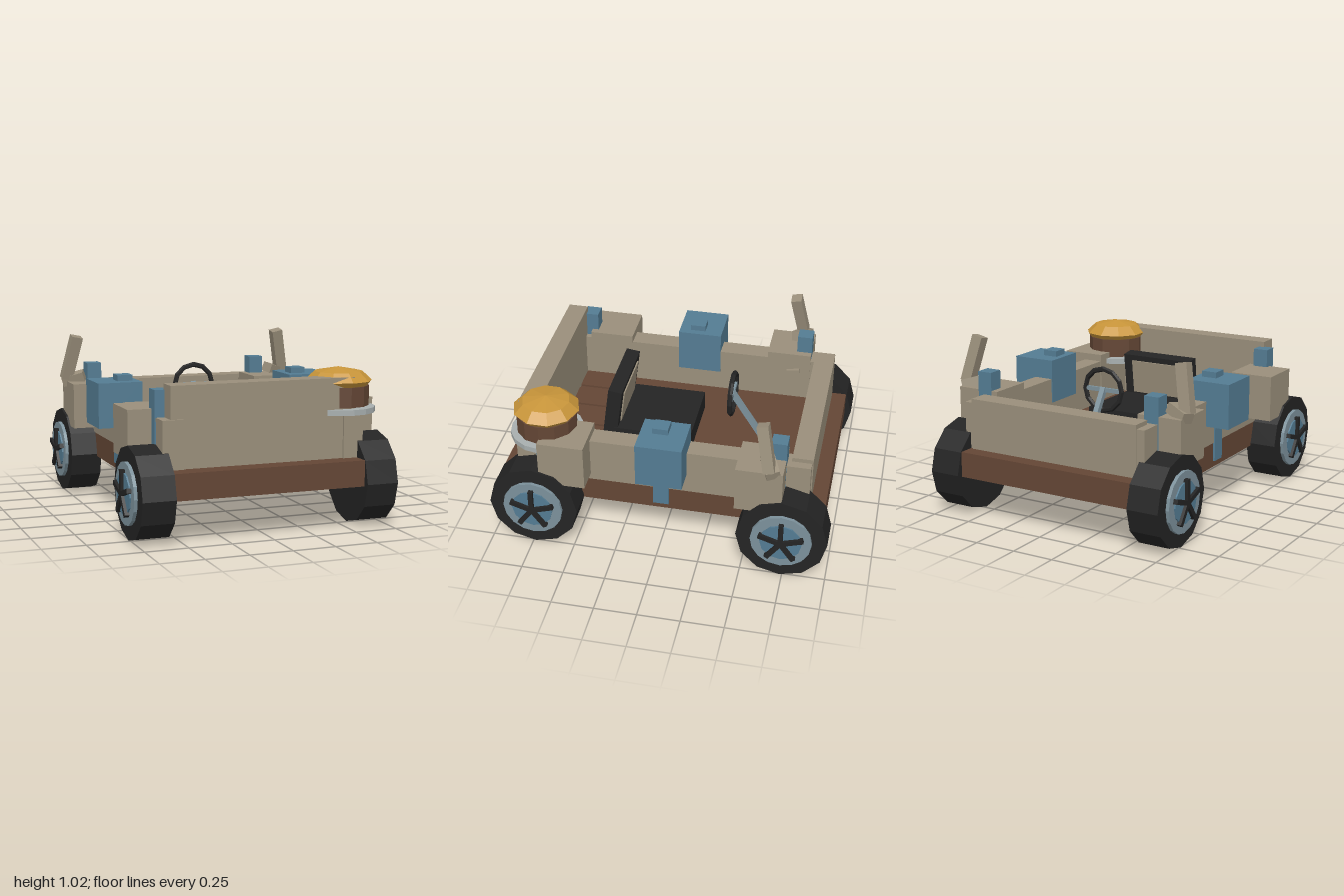
import * as THREE from 'three';

export function createModel() {
  const root = new THREE.Group();
  root.name = 'openBuggy';
  const mat = (name, color) => {
    const m = new THREE.MeshStandardMaterial({ color });
    m.name = name;
    return m;
  };
  const beige = mat('beige panel', 0x9a8f7b);
  const brown = mat('brown wood', 0x644635);
  const blue = mat('blue metal', 0x547c93);
  const black = mat('black rubber', 0x242424);
  const steel = mat('pale steel blue', 0x7c919b);
  const gold = mat('golden top', 0xc8953a);
  const grey = mat('light grey', 0xa8afaf);

  // Faceted mesh from any geometry
  function add(name, geo, material, parent = root) {
    const g = geo.index ? geo.toNonIndexed() : geo;
    g.computeVertexNormals();
    const mesh = new THREE.Mesh(g, material);
    mesh.name = name;
    parent.add(mesh);
    return mesh;
  }
  // Box from its limits
  function box(name, material, [x0, x1], [y0, y1], [z0, z1], parent = root) {
    const m = add(name, new THREE.BoxGeometry(Math.abs(x1 - x0), y1 - y0, z1 - z0), material, parent);
    m.position.set((x0 + x1) / 2, (y0 + y1) / 2, (z0 + z1) / 2);
    return m;
  }
  // Bar between two points
  function bar(name, material, a, b, w, d, parent = root) {
    const p = new THREE.Vector3(...a), q = new THREE.Vector3(...b);
    const dir = q.clone().sub(p);
    const m = add(name, new THREE.BoxGeometry(w, dir.length(), d), material, parent);
    m.position.copy(p).add(q).multiplyScalar(0.5);
    m.quaternion.setFromUnitVectors(new THREE.Vector3(0, 1, 0), dir.normalize());
    return m;
  }

  // Chassis and end walls
  box('chassis', brown, [-0.595, 0.595], [0.25, 0.4], [-0.96, 0.96]);
  box('frontWall', beige, [-0.55, 0.55], [0.4, 0.86], [0.73, 0.85]);
  box('backWall', beige, [-0.55, 0.55], [0.4, 0.7], [-0.872, -0.75]);

  // Floor boards
  for (let i = -2; i <= 2; i++) {
    box('floorBoard', brown, [i * 0.2 - 0.085, i * 0.2 + 0.085], [0.4, 0.412], [0.4, 0.73]);
  }

  // Everything mirrored on both sides
  for (const s of [1, -1]) {
    const X = (a, b) => [s * a, s * b];
    box('sideWall', beige, X(0.48, 0.6), [0.4, 0.675], [-0.865, 0.862]);
    box('frontFender', beige, X(0.475, 0.745), [0.44, 0.718], [0.42, 0.693]);
    box('rearFender', beige, X(0.475, 0.745), [0.44, 0.718], [-0.725, -0.455]);
    box('sideTank', blue, X(0.475, 0.745), [0.525, 0.792], [-0.153, 0.117]);

    // Upright posts
    for (const z of [0.7, 0, -0.68]) {
      const top = s > 0 && z > 0.5 ? 0.72 : 0.827;
      box('post', blue, X(0.515, 0.607), [0.287, top], [z - 0.046, z + 0.046]);
    }

    // Leaning lever with its angled foot
    bar('lever', beige, [s * 0.743, 0.735, -0.648], [s * 0.685, 1.005, -0.595], 0.07, 0.065);
    const foot = add('leverFoot', new THREE.BoxGeometry(0.14, 0.06, 0.08), beige);
    foot.position.set(s * 0.695, 0.735, -0.645);
    foot.rotation.set(0.2, s * 0.35, s * -0.35);

    // Inner handle
    const handle = box('innerHandle', beige, X(0.455, 0.478), [0.59, 0.612], [-0.66, -0.58]);
    handle.rotation.x = 0.15;

    // Wheels
    for (const z of [0.735, -0.735]) {
      const wheel = new THREE.Group();
      wheel.name = 'wheel';
      wheel.position.set(0, 0.265, z);
      root.add(wheel);
      const disc = (name, m, r, a, b, n) => {
        const d = add(name, new THREE.CylinderGeometry(r, r, b - a, n), m, wheel);
        d.rotation.z = Math.PI / 2;
        d.position.x = s * (a + b) / 2;
      };
      disc('tyre', black, 0.265, 0.567, 0.758, 12);
      disc('rim', steel, 0.178, 0.74, 0.778, 16);
      disc('hubDisc', blue, 0.122, 0.76, 0.787, 12);
      for (let i = 0; i < 5; i++) {
        const a = i * Math.PI * 2 / 5;
        bar('spoke', black, [s * 0.791, 0, 0],
          [s * 0.791, 0.135 * Math.cos(a), 0.135 * Math.sin(a)], 0.028, 0.028, wheel);
      }
    }
  }

  // Seat
  box('seatCushion', black, [-0.24, 0.24], [0.4, 0.52], [-0.1, 0.37]);
  const back = new THREE.Group();
  back.name = 'seatBack';
  back.position.set(0, 0.615, 0.377);
  back.rotation.x = -0.13;
  root.add(back);
  box('backrest', black, [-0.235, 0.235], [-0.165, 0.165], [-0.042, 0.042], back);
  box('backrestPanel', beige, [-0.175, 0.175], [-0.08, 0.13], [-0.05, -0.041], back);

  // Steering wheel and column
  const ring = add('steeringRing', new THREE.TorusGeometry(0.125, 0.016, 6, 12), black);
  ring.position.set(0, 0.705, -0.315);
  bar('steeringCrossbar', steel, [-0.12, 0.705, -0.315], [0.12, 0.705, -0.315], 0.025, 0.016);
  bar('steeringColumn', steel, [0, 0.715, -0.31], [0, 0.4, -0.51], 0.032, 0.032);

  // Layered drum on the front corner
  const drum = new THREE.Group();
  drum.name = 'cornerDrum';
  drum.position.set(0.523, 0, 0.69);
  root.add(drum);
  add('drumPlate', new THREE.CylinderGeometry(0.215, 0.215, 0.032, 16), grey, drum).position.y = 0.664;
  add('drumBody', new THREE.CylinderGeometry(0.178, 0.178, 0.115, 12), brown, drum).position.y = 0.7435;
  const cap = [[0, 0.79], [0.168, 0.795], [0.196, 0.828], [0.14, 0.88], [0, 0.906]];
  add('drumCap', new THREE.LatheGeometry(cap.map(p => new THREE.Vector2(...p)), 10), gold, drum);

  return root;
}
